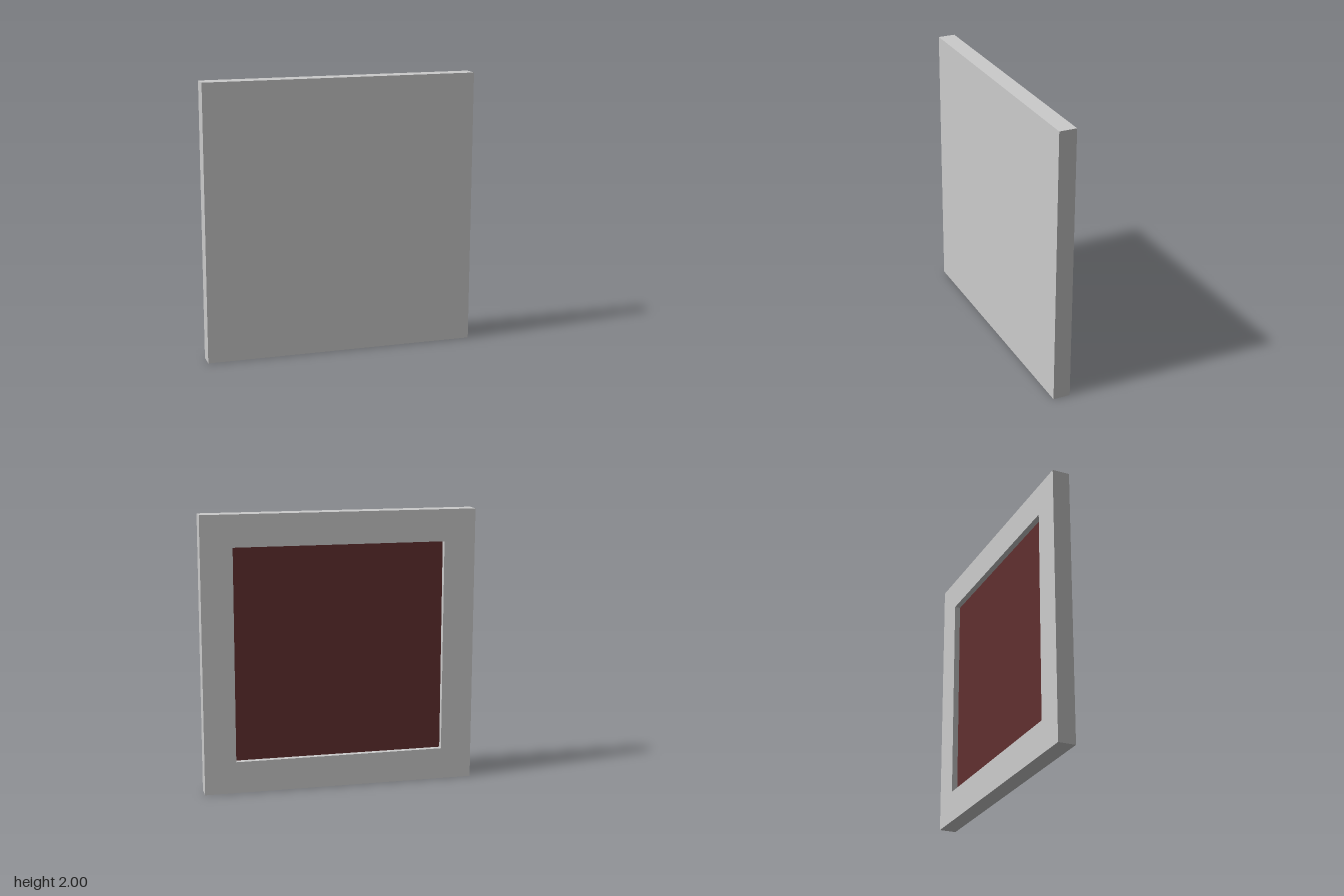
import * as THREE from 'three';

const WIDTH = 1.985, HEIGHT = 2, DEPTH = 0.125;
const OPENING = 0.77; // opening size relative to the outer size
const RECESS = 0.042; // how far the back panel is set in

export function createModel() {
  const model = new THREE.Group();
  model.name = 'framedPanel';

  // Frame with closed front: a stepped profile swept round four sides
  const r = Math.SQRT1_2, h = DEPTH / 2;
  const profile = [
    [0, -h], [r, -h], [r, h], [r * OPENING, h], [r * OPENING, h - RECESS],
  ].map(([x, y]) => new THREE.Vector2(x, y));
  const frameGeometry = new THREE.LatheGeometry(profile, 4)
    .rotateY(Math.PI / 4)
    .rotateX(-Math.PI / 2)
    .scale(WIDTH, HEIGHT, 1)
    .toNonIndexed();
  frameGeometry.computeVertexNormals();
  const frame = new THREE.Mesh(
    frameGeometry,
    new THREE.MeshStandardMaterial({ color: 0xcccccc, flatShading: true })
  );
  frame.name = 'frame';
  frame.position.y = HEIGHT / 2;
  model.add(frame);

  // Dark red panel sunk into the back
  const panel = new THREE.Mesh(
    new THREE.PlaneGeometry(WIDTH * OPENING, HEIGHT * OPENING),
    new THREE.MeshStandardMaterial({ color: 0x602f2f, side: THREE.DoubleSide })
  );
  panel.name = 'backPanel';
  panel.rotation.y = Math.PI;
  panel.position.set(0, HEIGHT / 2, -h + RECESS);
  model.add(panel);

  return model;
}
